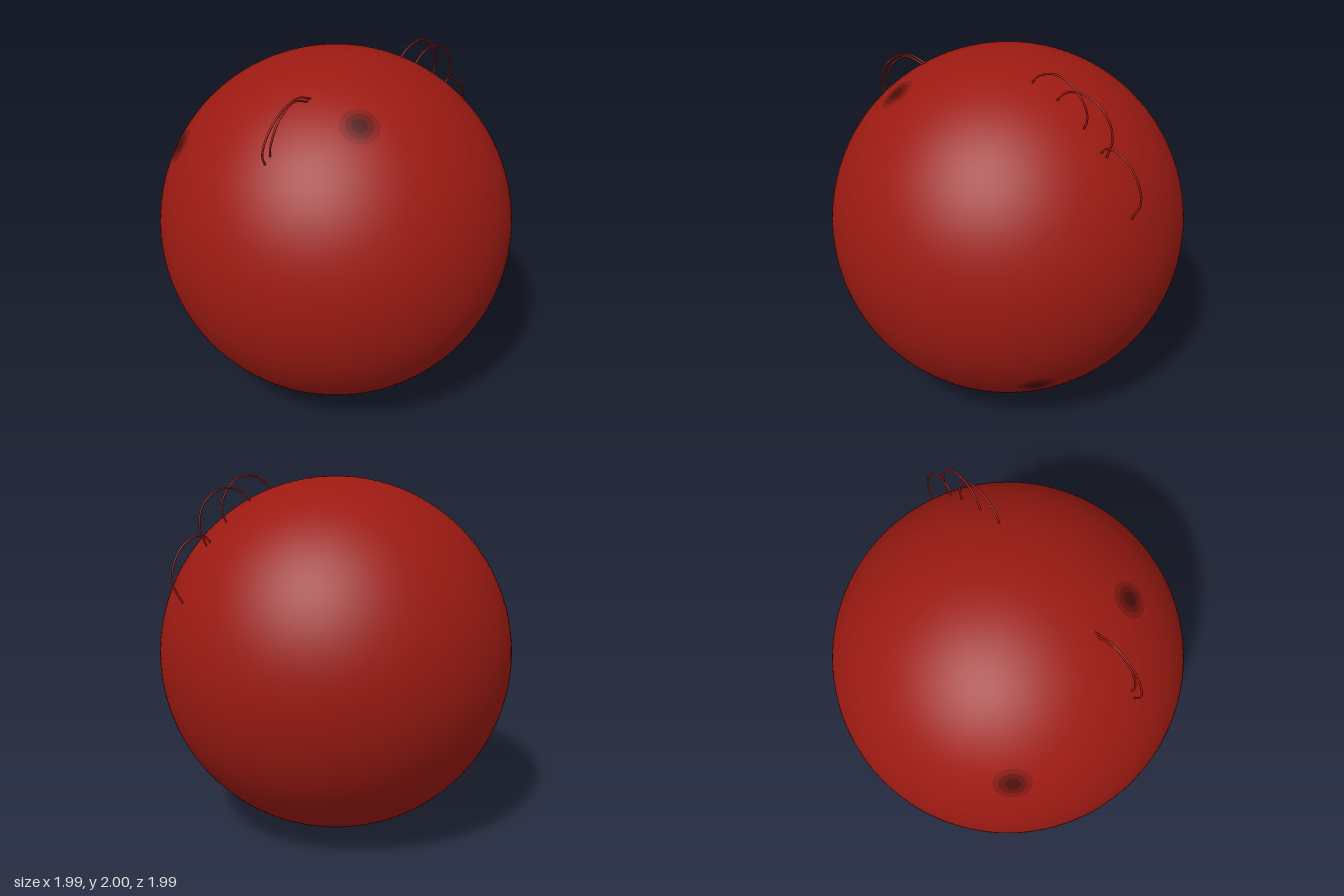
import * as THREE from 'three';

const R = 0.997;
const material = (color) => new THREE.MeshStandardMaterial({ color });

export function createModel() {
  const model = new THREE.Group();
  model.name = 'redStar';
  const red = material(0x9c1a12);

  // Star body
  const body = new THREE.Mesh(new THREE.SphereGeometry(R, 128, 96), red);
  body.name = 'starBody';
  body.position.y = R;
  model.add(body);

  // Dark spots: thin nested caps, darker towards the middle
  const shades = [material(0x84160f), material(0x68110c), material(0x4c0d09)];
  const spots = [[-0.37, 0.8, 0.47], [0.6, -0.58, 0.53], [-0.67, 0.53, -0.52]];
  spots.forEach((dir, i) => {
    const spot = new THREE.Group();
    spot.name = `darkSpot${i + 1}`;
    shades.forEach((shade, k) => {
      const cap = new THREE.SphereGeometry(R + 0.0006 * (k + 1), 32, 6, 0, Math.PI * 2, 0, 0.1 - 0.03 * k);
      const mesh = new THREE.Mesh(cap, shade);
      mesh.name = `spotLayer${k + 1}`;
      spot.add(mesh);
    });
    spot.position.y = R;
    spot.quaternion.setFromUnitVectors(new THREE.Vector3(0, 1, 0), new THREE.Vector3(...dir).normalize());
    model.add(spot);
  });

  // Flare loops: thin arcs with both feet in the surface, bowed slightly forward
  const loops = [
    [[0.29, 1.9], [0.34, 1.96], [0.44, 1.995], [0.54, 1.97], [0.61, 1.9], [0.637, 1.82], [0.61, 1.74]],
    [[0.45, 1.86], [0.51, 1.915], [0.6, 1.932], [0.69, 1.905], [0.755, 1.84], [0.782, 1.745], [0.75, 1.64]],
    [[0.71, 1.64], [0.745, 1.685], [0.79, 1.695], [0.88, 1.65], [0.945, 1.55], [0.957, 1.46], [0.91, 1.36]],
    [[-0.41, 1.88], [-0.51, 1.912], [-0.63, 1.88], [-0.72, 1.8], [-0.76, 1.7], [-0.73, 1.63]],
    [[-0.43, 1.87], [-0.54, 1.9], [-0.64, 1.85], [-0.69, 1.78], [-0.71, 1.7], [-0.69, 1.64]],
  ];
  loops.forEach((pts, i) => {
    const path = new THREE.CatmullRomCurve3(pts.map(([x, y], k) =>
      new THREE.Vector3(x, y, 0.193 + 0.02 * Math.sin(Math.PI * k / (pts.length - 1)))));
    const loop = new THREE.Mesh(new THREE.TubeGeometry(path, 64, 0.005, 10), red);
    loop.name = `flareLoop${i + 1}`;
    model.add(loop);
  });

  return model;
}
